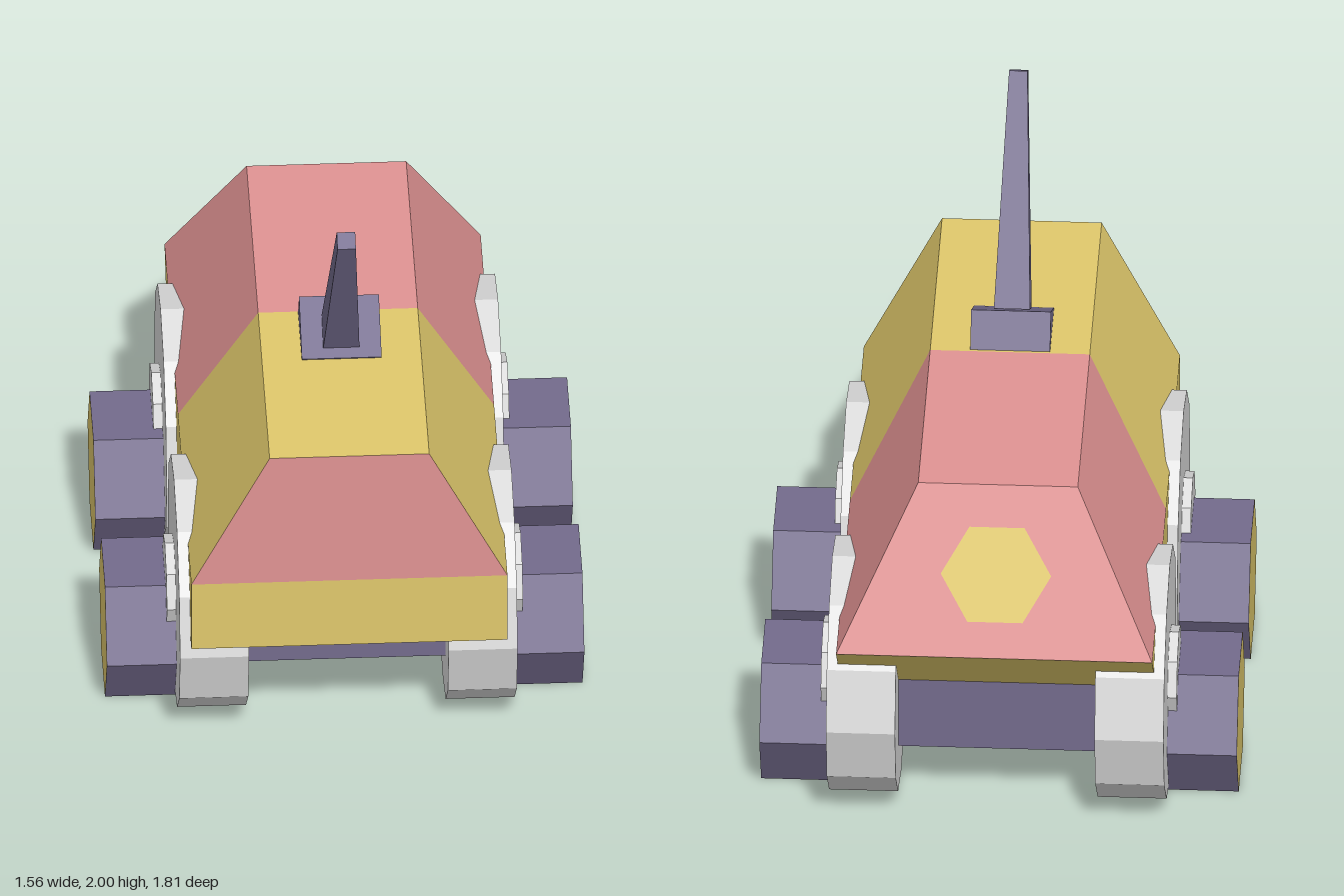
import * as THREE from 'three';

const mat = (name, color) => {
  const m = new THREE.MeshStandardMaterial({ color, flatShading: true });
  m.name = name;
  return m;
};

// Flat-faced geometry from convex polygons, each a list of [x, y, z] corners
function panels(polys) {
  const pos = [];
  for (const p of polys)
    for (let i = 1; i < p.length - 1; i++) pos.push(...p[0], ...p[i], ...p[i + 1]);
  const g = new THREE.BufferGeometry();
  g.setAttribute('position', new THREE.Float32BufferAttribute(pos, 3));
  g.computeVertexNormals();
  return g;
}

// A panel spanning left to right between two corners
const span = (a, b) => [[-a[0], a[1], a[2]], a, b, [-b[0], b[1], b[2]]];
// A side panel and its mirror image
const both = (p) => [p, p.map(([x, y, z]) => [-x, y, z]).reverse()];

export function createModel() {
  const yellow = mat('yellow paint', 0xe0c96c);
  const pink = mat('pink paint', 0xe09393);
  const grey = mat('light grey', 0xdcdcdc);
  const purple = mat('dark purple', 0x736b8c);

  const model = new THREE.Group();
  model.name = 'vehicle';
  const add = (name, geometry, material, x = 0, y = 0, z = 0) => {
    const mesh = new THREE.Mesh(geometry, material);
    mesh.name = name;
    mesh.position.set(x, y, z);
    model.add(mesh);
    return mesh;
  };

  // Body corners on the left side
  const W = 0.515, T = 0.26;
  const frontLow = [W, 0.485, 0.905], frontMid = [W, 0.75, 0.905], frontTop = [T, 1.26, 0.905];
  const backLow = [W, 0.485, -0.645], backMid = [W, 0.75, -0.905], backTop = [T, 1.26, -0.65];
  const seamMid = [W, 0.75, 0], seamTop = [T, 1.26, 0.13];

  add('lowerBody', panels([
    span(frontLow, frontMid),
    span(backMid, backLow),
    span(backLow, frontLow),
    ...both([frontLow, backLow, backMid, frontMid]),
  ]), yellow);
  add('frontCabin', panels([
    span(frontTop, seamTop),
    ...both([frontMid, seamMid, seamTop, frontTop]),
  ]), yellow);
  add('nosePanel', panels([span(frontMid, frontTop)]), pink);
  add('rearCabin', panels([
    span(seamTop, backTop),
    span(backTop, backMid),
    ...both([seamMid, backMid, backTop, seamTop]),
  ]), pink);

  // Hexagonal patch on the sloping back
  const patch = add('rearPatch', new THREE.CircleGeometry(0.18, 6), yellow, 0, 0.997, -0.785);
  patch.lookAt(0, 0.997 + 0.447, -0.785 - 0.894);

  // Chassis under the body
  add('chassis', new THREE.BoxGeometry(0.65, 0.26, 1.29), purple, 0, 0.356, 0);

  // Cylinder lying along x, its top cap facing outward
  const axleDrum = (radius, inner, outer, sides, s) =>
    new THREE.CylinderGeometry(radius, radius, outer - inner, sides)
      .rotateZ(-s * Math.PI / 2)
      .translate(s * (inner + outer) / 2, 0, 0);

  // Wheels, hubs and hexagonal pods
  for (const s of [1, -1]) {
    for (const e of [1, -1]) {
      const name = (e > 0 ? 'front' : 'rear') + (s > 0 ? 'Left' : 'Right');
      add(name + 'Wheel', axleDrum(0.415, 0.325, 0.55, 12, s), grey, 0, 0.418, e * 0.453);
      add(name + 'Hub', axleDrum(0.155, 0.5, 0.58, 8, s), grey, 0, 0.418, e * 0.453);
      add(name + 'Pod', axleDrum(0.26, 0.52, 0.778, 6, s), [purple, yellow, purple], 0, 0.226, e * 0.39);
    }
  }

  // Tilted roof mount with a tapering square mast
  const tilt = Math.PI / 6;
  add('mastMount', new THREE.BoxGeometry(0.26, 0.13, 0.22), purple, 0, 1.264, 0.2625).rotation.x = tilt;
  const r = Math.SQRT2;
  const mast = new THREE.CylinderGeometry(0.03 * r, 0.059 * r, 0.775, 4).rotateY(Math.PI / 4);
  add('mast', mast, purple, 0, 1.65, 0.5025).rotation.x = tilt;

  return model;
}
